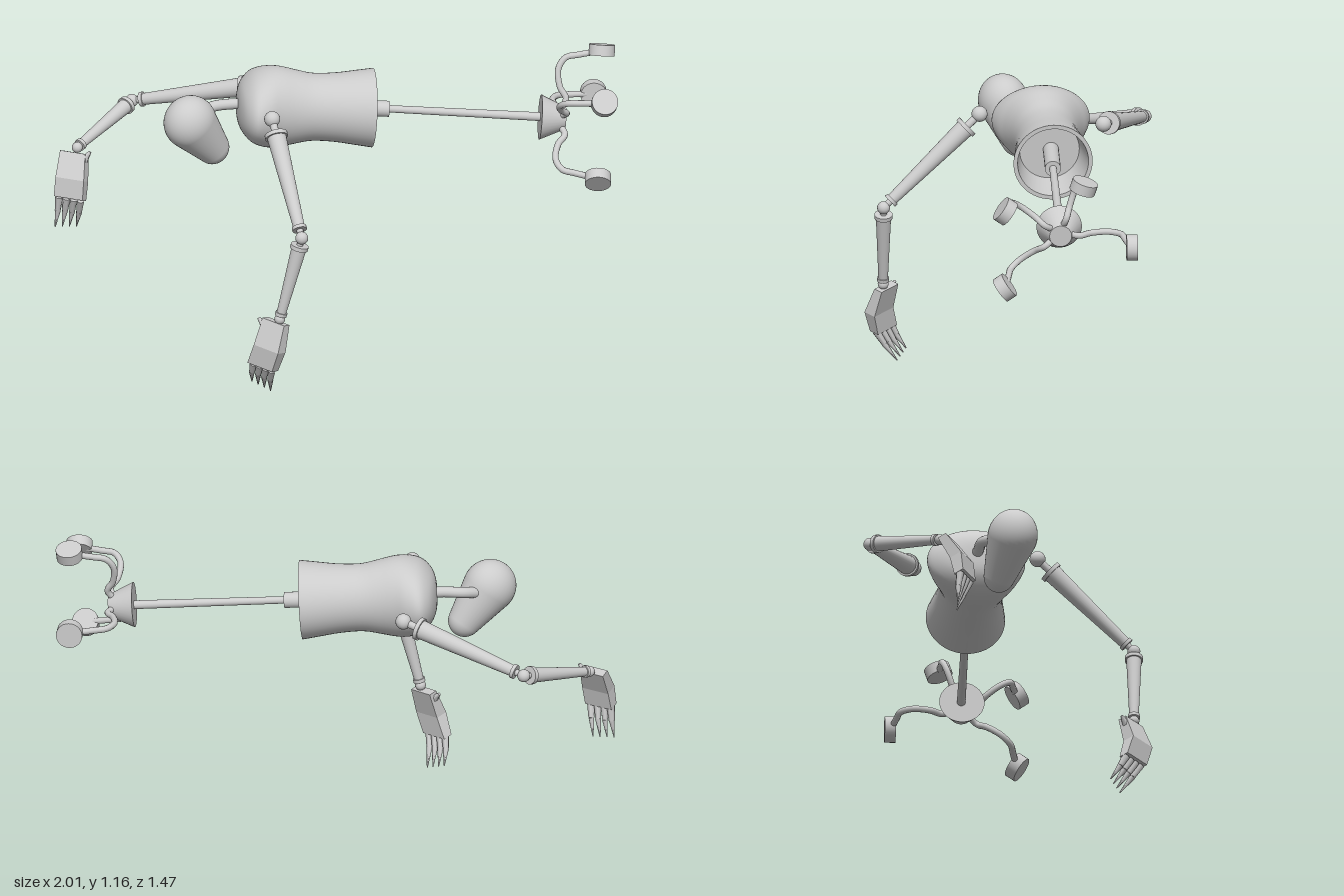
import * as THREE from 'three';

const V = (x, y, z) => new THREE.Vector3(x, y, z);
const grey = new THREE.MeshStandardMaterial({ color: 0xcccccc });
const flatGrey = new THREE.MeshStandardMaterial({ color: 0xcccccc, flatShading: true });
const UP = V(0, 1, 0);

function add(parent, name, geometry, material = grey) {
  const mesh = new THREE.Mesh(geometry, material);
  mesh.name = name;
  parent.add(mesh);
  return mesh;
}

// Tapered cylinder between two points
function rod(parent, name, a, b, ra, rb, sides = 24) {
  const dir = b.clone().sub(a);
  const mesh = add(parent, name, new THREE.CylinderGeometry(rb, ra, dir.length(), sides));
  mesh.position.copy(a).add(b).multiplyScalar(0.5);
  mesh.quaternion.setFromUnitVectors(UP, dir.normalize());
  return mesh;
}

function ball(parent, name, p, r) {
  add(parent, name, new THREE.SphereGeometry(r, 20, 14)).position.copy(p);
}

// Skin over closed rings that run counter-clockwise about the path
function loft(rings, capped = false) {
  const n = rings[0].length, pos = [], idx = [];
  rings.forEach(r => r.forEach(p => pos.push(p.x, p.y, p.z)));
  for (let i = 0; i < rings.length - 1; i++) {
    for (let j = 0; j < n; j++) {
      const k = (j + 1) % n, a = i * n, b = a + n;
      idx.push(a + j, a + k, b + k, a + j, b + k, b + j);
    }
  }
  if (capped) {
    const e = (rings.length - 1) * n;
    for (let j = 1; j < n - 1; j++) idx.push(0, j + 1, j, e, e + j, e + j + 1);
  }
  const g = new THREE.BufferGeometry();
  g.setAttribute('position', new THREE.Float32BufferAttribute(pos, 3));
  g.setIndex(idx);
  g.computeVertexNormals();
  return g;
}

// Frame along a near-horizontal axis: d along, u sideways, v upwards
function frame(origin, dir) {
  const d = dir.clone().normalize();
  const u = UP.clone().cross(d).normalize();
  const v = d.clone().cross(u);
  const at = (along, side, up) => origin.clone().addScaledVector(d, along).addScaledVector(u, side).addScaledVector(v, up);
  return { d, u, v, at };
}

function torso(root) {
  const f = frame(V(-0.36, 0.967, -0.12), V(0.43, -0.03, 0.197));
  const ring = ([s, w, h]) => Array.from({ length: 48 }, (_, j) => {
    const a = j / 48 * Math.PI * 2;
    return f.at(s, w * Math.cos(a), h * Math.sin(a));
  });
  // Side profile: distance along, half width, half height
  const profile = new THREE.CatmullRomCurve3([
    V(-0.06, 0.001, 0.001), V(-0.055, 0.08, 0.06), V(-0.036, 0.15, 0.1), V(0, 0.19, 0.135),
    V(0.05, 0.178, 0.155), V(0.1, 0.153, 0.158), V(0.16, 0.133, 0.147), V(0.23, 0.124, 0.133),
    V(0.32, 0.13, 0.135), V(0.4, 0.143, 0.145), V(0.468, 0.154, 0.154)]);
  add(root, 'torso', loft(profile.getPoints(40).map(p => ring([p.x, p.y, p.z]))));
  add(root, 'waistRim', loft([[0.468, 0.154, 0.154], [0.468, 0.138, 0.138]].map(ring)));
  add(root, 'waistCavity', loft([[0.468, 0.138, 0.138], [0.335, 0.116, 0.116]].map(ring)));
  add(root, 'cavityFloor', loft([[0.335, 0.116, 0.116], [0.335, 0.001, 0.001]].map(ring)));
}

function head(root) {
  // Egg-shaped head, wide at the crown and narrow at the chin
  const crown = V(-0.643, 0.96, -0.12), chin = V(-0.54, 0.832, -0.12);
  const dir = crown.clone().sub(chin), len = dir.length(), R = 0.105, r = 0.066;
  const tilt = Math.asin((R - r) / len), pts = [];
  for (let i = 0; i <= 12; i++) {
    const a = -Math.PI / 2 + i / 12 * (Math.PI / 2 - tilt);
    pts.push(new THREE.Vector2(Math.max(0, r * Math.cos(a)), r * Math.sin(a)));
  }
  for (let i = 0; i <= 16; i++) {
    const a = -tilt + i / 16 * (Math.PI / 2 + tilt);
    pts.push(new THREE.Vector2(Math.max(0, R * Math.cos(a)), len + R * Math.sin(a)));
  }
  const mesh = add(root, 'head', new THREE.LatheGeometry(pts, 36));
  mesh.position.copy(chin);
  mesh.quaternion.setFromUnitVectors(UP, dir.normalize());
  mesh.scale.z = 0.9;
  const neck = new THREE.CatmullRomCurve3([V(-0.37, 0.975, -0.13), V(-0.43, 0.98, -0.15), V(-0.51, 0.975, -0.177), V(-0.6, 0.955, -0.16)]);
  add(root, 'neck', new THREE.TubeGeometry(neck, 20, 0.021, 14));
}

// Tapered arm segment with a collar at each end
function segment(parent, name, a, b, ra, rb) {
  const d = b.clone().sub(a).normalize();
  rod(parent, name, a, b, ra, rb);
  rod(parent, name + 'Collar', a, a.clone().addScaledVector(d, 0.016), ra * 1.18, ra * 1.18);
  rod(parent, name + 'EndCollar', b.clone().addScaledVector(d, -0.014), b, rb * 1.3, rb * 1.3);
}

function arm(root, name, o) {
  const g = new THREE.Group();
  g.name = name;
  root.add(g);
  const between = (a, b, from, to) => [a.clone().addScaledVector(b.clone().sub(a).normalize(), from),
    b.clone().addScaledVector(a.clone().sub(b).normalize(), to)];
  ball(g, 'shoulder', o.shoulder, 0.031);
  ball(g, 'elbow', o.elbow, 0.025);
  ball(g, 'wrist', o.wrist, 0.021);
  rod(g, 'armCore', o.shoulder, o.elbow, 0.015, 0.013, 12);
  rod(g, 'forearmCore', o.elbow, o.wrist, 0.013, 0.011, 12);
  segment(g, 'upperArm', ...between(o.shoulder, o.elbow, 0.065, 0.035), 0.038, 0.022);
  segment(g, 'forearm', ...between(o.elbow, o.wrist, 0.03, 0.015), 0.03, 0.018);

  // Bent palm: box sections from wrist to knuckles
  const w = o.across.clone().normalize();
  const size = [[0.105, 0.036], [0.118, 0.05], [0.12, 0.04]];
  const down = o.palm[2].clone().sub(o.palm[0]).normalize();
  const n = down.clone().cross(w).normalize();
  const corner = (p, a, b) => p.clone().addScaledVector(w, a).addScaledVector(n, b);
  add(g, 'palm', loft(o.palm.map((p, i) => {
    const [a, b] = size[i].map(s => s / 2);
    return [corner(p, -a, -b), corner(p, a, -b), corner(p, a, b), corner(p, -a, b)];
  }), true), flatGrey);

  // Four pointed fingers and a thumb
  for (let i = 0; i < 4; i++) {
    const base = corner(o.palm[2], (i / 3 - 0.5) * 0.09, 0);
    const tip = o.tips[0].clone().lerp(o.tips[1], i / 3);
    const mid = base.clone().lerp(tip, 0.45).addScaledVector(n, o.curl);
    rod(g, 'finger', base, mid, 0.016, 0.012, 6);
    rod(g, 'fingertip', mid, tip, 0.012, 0.002, 6);
  }
  rod(g, 'thumb', corner(o.palm[0].clone().lerp(o.palm[1], 0.35), 0.035, 0), o.thumb, 0.02, 0.006, 6);
}

function base(root) {
  // Pole with a sleeve inside the waist
  rod(root, 'poleSleeve', V(-0.09, 0.948, -0.005), V(0.12, 0.932, 0.108), 0.031, 0.031);
  rod(root, 'pole', V(0.1, 0.934, 0.097), V(0.65, 0.884, 0.39), 0.014, 0.017);
  rod(root, 'hub', V(0.635, 0.885, 0.385), V(0.722, 0.877, 0.43), 0.088, 0.043, 32);

  // Curved legs with wheels, at fifths of a turn
  const f = frame(V(0.7, 0.88, 0.42), V(0.87, -0.08, 0.46));
  const path = [[0.03, 0], [0.075, 0.022], [0.12, -0.004], [0.19, -0.014], [0.235, 0.012], [0.248, 0.06], [0.266, 0.14]];
  for (let i = 0; i < 4; i++) {
    const a = i / 5 * Math.PI * 2, c = Math.cos(a), s = Math.sin(a);
    const at = (r, h) => f.at(h, r * c, r * s);
    const curve = new THREE.CatmullRomCurve3(path.map(([r, h]) => at(r, h)));
    add(root, 'baseLeg', new THREE.TubeGeometry(curve, 36, 0.0125, 10));
    rod(root, 'wheel', at(0.25, 0.15), at(0.293, 0.15), 0.051, 0.051, 28);
  }
}

export function createModel() {
  const root = new THREE.Group();
  root.name = 'figure';
  torso(root);
  head(root);
  base(root);
  arm(root, 'frontArm', {
    shoulder: V(-0.417, 1.008, 0.12), elbow: V(-0.512, 0.662, 0.495), wrist: V(-0.586, 0.325, 0.453),
    palm: [V(-0.592, 0.31, 0.435), V(-0.628, 0.208, 0.447), V(-0.642, 0.125, 0.418)],
    across: V(-0.35, 0.08, -0.9), tips: [V(-0.588, 0.004, 0.388), V(-0.632, 0.03, 0.322)],
    thumb: V(-0.632, 0.312, 0.372), curl: -0.006,
  });
  arm(root, 'backArm', {
    shoulder: V(-0.206, 0.955, -0.312), elbow: V(-0.55, 0.827, -0.703), wrist: V(-0.875, 0.744, -0.577),
    palm: [V(-0.9, 0.735, -0.558), V(-0.937, 0.645, -0.515), V(-0.95, 0.57, -0.508)],
    across: V(0.58, 0, 0.8), tips: [V(-0.985, 0.442, -0.56), V(-0.912, 0.442, -0.522)],
    thumb: V(-0.862, 0.748, -0.503), curl: -0.004,
  });
  return root;
}
